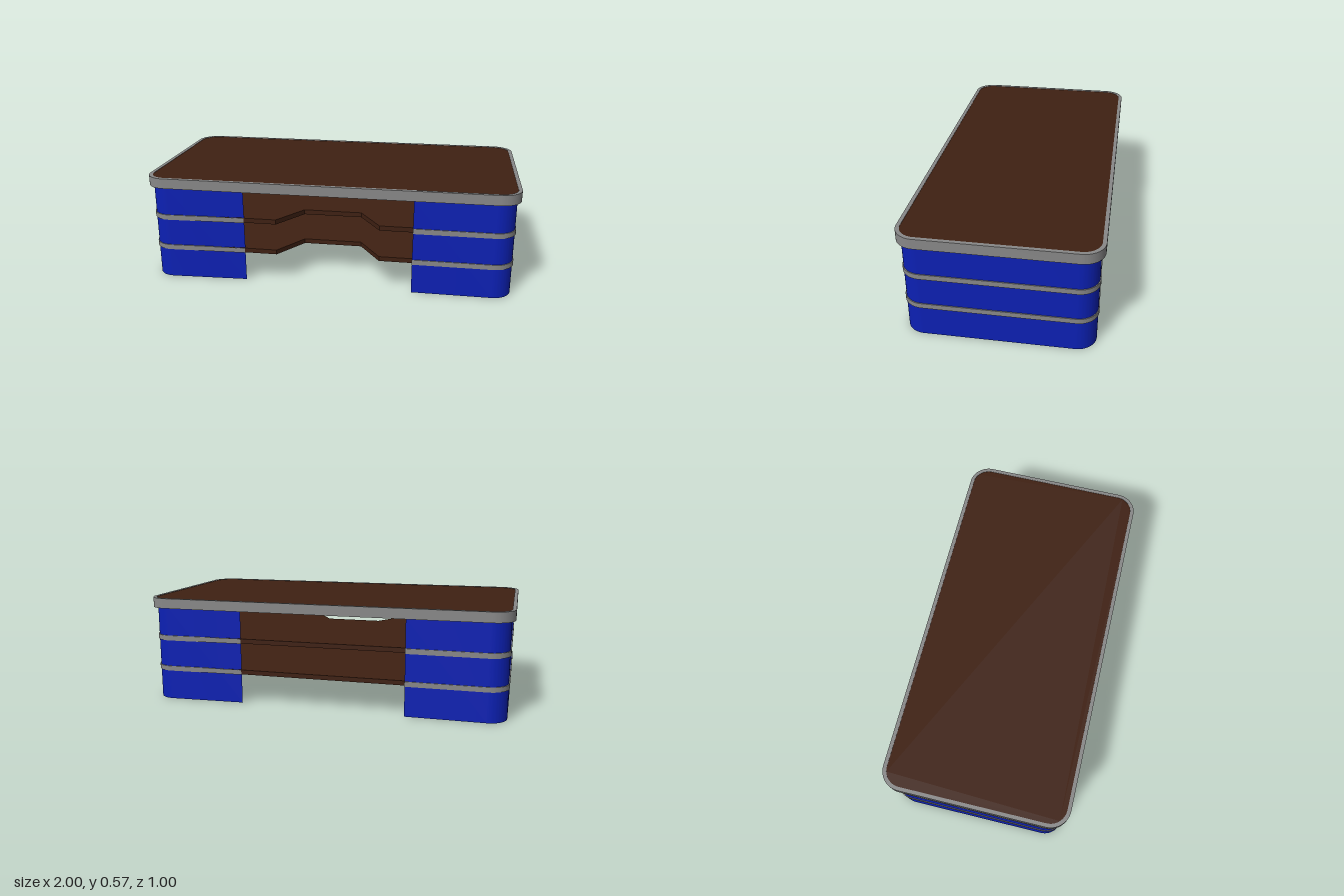
import * as THREE from 'three';
import { toCreasedNormals } from 'three/addons/utils/BufferGeometryUtils.js';

const mat = (color) => new THREE.MeshStandardMaterial({ color, side: THREE.DoubleSide });

// Rounded rectangle on the ground plane (shape y becomes z)
function roundedRect(hx, hz, r, Type = THREE.Shape) {
  const s = new Type();
  s.moveTo(hx, -hz + r);
  s.lineTo(hx, hz - r);
  s.absarc(hx - r, hz - r, r, 0, Math.PI / 2);
  s.absarc(-hx + r, hz - r, r, Math.PI / 2, Math.PI);
  s.absarc(-hx + r, -hz + r, r, Math.PI, Math.PI * 1.5);
  s.absarc(hx - r, -hz + r, r, Math.PI * 1.5, Math.PI * 2);
  return s;
}

// C-shaped strip wrapping one end of the desk
function wrap(hx, hz, r, t, x0) {
  const s = new THREE.Shape();
  const cx = hx - r, cz = hz - r;
  s.moveTo(x0, -hz);
  s.absarc(cx, -cz, r, -Math.PI / 2, 0);
  s.absarc(cx, cz, r, 0, Math.PI / 2);
  s.lineTo(x0, hz);
  s.lineTo(x0, hz - t);
  s.absarc(cx, cz, r - t, Math.PI / 2, 0, true);
  s.absarc(cx, -cz, r - t, 0, -Math.PI / 2, true);
  s.lineTo(x0, -hz + t);
  s.closePath();
  return s;
}

// Upright extrusion of a ground-plane shape between two heights
function slab(name, shape, y0, y1, material) {
  const g = new THREE.ExtrudeGeometry(shape, { depth: y1 - y0, bevelEnabled: false, curveSegments: 12 });
  g.rotateX(Math.PI / 2);
  g.translate(0, y1, 0);
  const mesh = new THREE.Mesh(toCreasedNormals(g, 0.6), material);
  mesh.name = name;
  return mesh;
}

export function createModel() {
  const desk = new THREE.Group();
  desk.name = 'desk';
  const brown = mat(0x3f2012), blue = mat(0x0c20b4), grey = mat(0x888888);
  const levels = [[0.163, 0.19], [0.337, 0.365]];

  // Desktop with its edge trim
  const rim = roundedRect(1, 0.5, 0.11);
  rim.holes.push(roundedRect(0.98, 0.48, 0.09, THREE.Path));
  desk.add(slab('topTrim', rim, 0.52, 0.575, grey));
  desk.add(slab('desktop', roundedRect(0.98, 0.48, 0.09), 0.522, 0.573, brown));

  // Shelves with a knee notch at the front
  const shelf = new THREE.Shape([
    [-0.87, -0.465], [0.87, -0.465], [0.87, 0.465], [0.28, 0.465],
    [0.16, 0.28], [-0.16, 0.28], [-0.28, 0.465], [-0.87, 0.465],
  ].map(([x, z]) => new THREE.Vector2(x, z)));
  for (const [y0, y1] of levels) desk.add(slab('shelf', shelf, y0 + 0.001, y1 - 0.001, brown));

  // Wrapping end panels with outer bands and inner strips
  for (const side of ['left', 'right']) {
    const end = new THREE.Group();
    end.name = side + 'End';
    end.add(slab('endPanel', wrap(0.98, 0.48, 0.1, 0.02, 0.457), 0, 0.522, [brown, blue]));
    for (const [y0, y1] of levels) {
      end.add(slab('band', wrap(0.985, 0.485, 0.105, 0.015, 0.456), y0, y1, grey));
      end.add(slab('innerStrip', wrap(0.962, 0.462, 0.082, 0.004, 0.46), y0, y1, brown));
    }
    if (side === 'right') end.rotation.y = Math.PI;
    desk.add(end);
  }
  return desk;
}
